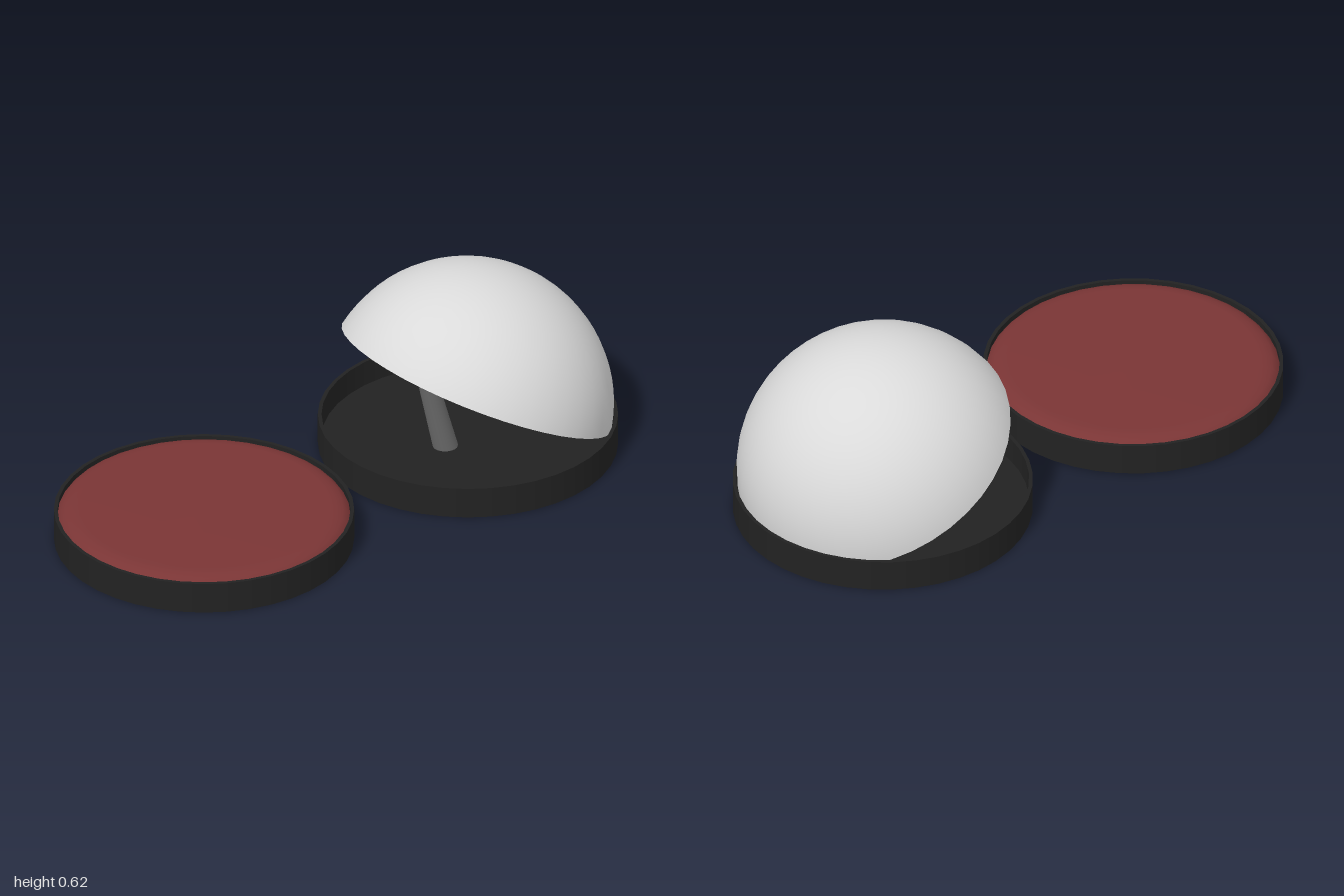
import * as THREE from 'three';

const SEGMENTS = 40;
const RADIUS = 0.48;
const HEIGHT = 0.105;
const OFFSET = 0.52;

const material = (name, color, side = THREE.FrontSide) => {
  const m = new THREE.MeshStandardMaterial({ color, side });
  m.name = name;
  return m;
};

const add = (parent, name, geometry, mat, x = 0, y = 0, z = 0) => {
  const mesh = new THREE.Mesh(geometry, mat);
  mesh.name = name;
  mesh.position.set(x, y, z);
  parent.add(mesh);
  return mesh;
};

// Lathe whose repeated points keep hard edges between the runs
const lathe = (points) =>
  new THREE.LatheGeometry(points.map(([r, y]) => new THREE.Vector2(r, y)), SEGMENTS);

// Open shallow tray: underside, outer wall, lip, inner wall and floor
function addTray(parent, name, mat, z) {
  const tray = new THREE.Group();
  tray.name = name;
  tray.position.z = z;
  parent.add(tray);
  const inner = 0.468;
  const floor = 0.02;
  const runs = {
    underside: [[0, 0], [RADIUS, 0]],
    outerWall: [[RADIUS, 0], [RADIUS, HEIGHT]],
    lip: [[RADIUS, HEIGHT], [inner, HEIGHT]],
    innerWall: [[inner, HEIGHT], [inner, floor]],
    floor: [[inner, floor], [0, floor]],
  };
  for (const [part, points] of Object.entries(runs)) add(tray, part, lathe(points), mat);
  return tray;
}

export function createModel() {
  const model = new THREE.Group();
  model.name = 'domedCase';

  const black = material('black plastic', 0x222222, THREE.DoubleSide);
  const red = material('dark red pad', 0x7a3535);
  const shell = material('pale grey shell', 0xdadada, THREE.DoubleSide);
  const grey = material('mid grey', 0x6c6c6c);
  const pale = material('pale tip', 0xdcdcdc);

  // Front tray filled with a softly rounded pad
  const frontTray = addTray(model, 'frontTray', black, OFFSET);
  add(frontTray, 'pad', lathe([
    [0.468, 0.085], [0.458, 0.098], [0.445, 0.106], [0.425, 0.113],
    [0.4, 0.116], [0.17, 0.118], [0, 0.119],
  ]), red);

  // Rear tray with the tilted dome resting inside its back edge
  const rearTray = addTray(model, 'rearTray', black, -OFFSET);
  const domeGeometry = new THREE.SphereGeometry(
    0.472, SEGMENTS, 16, 0, Math.PI * 2, 0, THREE.MathUtils.degToRad(79));
  const dome = add(rearTray, 'dome', domeGeometry, shell, 0, 0.147, 0.006);
  dome.rotation.x = THREE.MathUtils.degToRad(-26.5);

  // Leaning peg with a pointed tip
  const peg = new THREE.Group();
  peg.name = 'peg';
  peg.position.set(0, 0.015, 0.088);
  peg.rotation.x = THREE.MathUtils.degToRad(15);
  rearTray.add(peg);
  add(peg, 'pegBody', new THREE.CylinderGeometry(0.032, 0.04, 0.272, 24), grey, 0, 0.136, 0);
  add(peg, 'pegTip', new THREE.CylinderGeometry(0.008, 0.014, 0.026, 16), pale, 0, 0.283, 0);

  return model;
}
